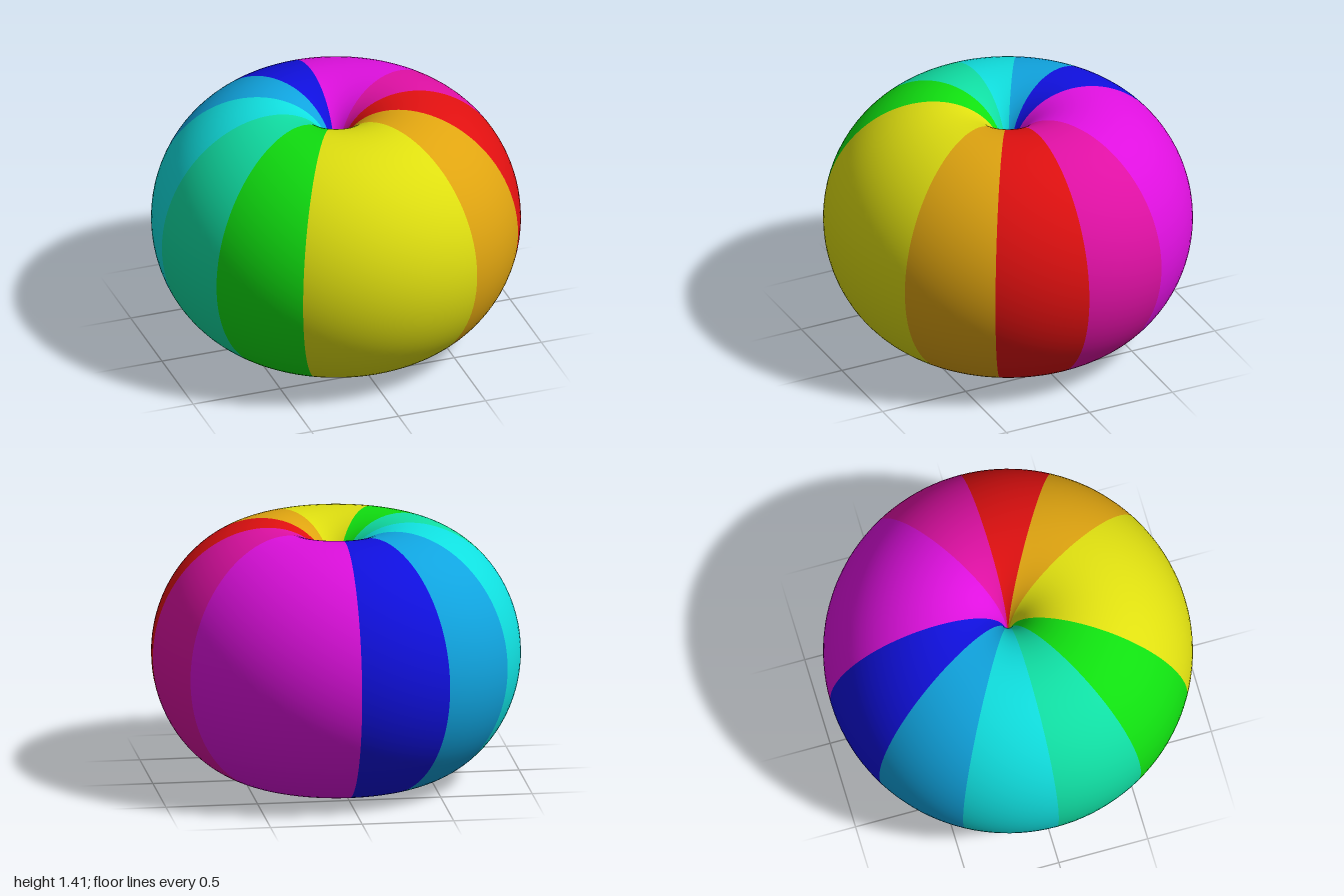
import * as THREE from 'three';

// Colour sectors: name, hex, start and end angle in degrees from +z towards +x
const SECTORS = [
  ['yellow', 0xdfdf10, -30, 30],
  ['orange', 0xdfa410, 30, 60],
  ['red', 0xdf1010, 60, 90],
  ['pink', 0xdf10a4, 90, 120],
  ['magenta', 0xdf10df, 120, 180],
  ['blue', 0x1010df, 180, 210],
  ['skyBlue', 0x10a4df, 210, 240],
  ['cyan', 0x10dfdf, 240, 270],
  ['seaGreen', 0x10dfa4, 270, 300],
  ['green', 0x10df10, 300, 330],
];

// Polar profile from the bottom dimple round to the top dimple,
// with points crowded towards both poles
function bodyProfile(steps = 96, power = 0.3, centreY = 0.705) {
  const points = [];
  for (let i = 0; i <= steps; i++) {
    const s = i / steps;
    const angle = Math.PI * s * s * (3 - 2 * s);
    const radius = Math.pow(Math.max(Math.sin(angle), 0), power);
    const atPole = i === 0 || i === steps;
    points.push(new THREE.Vector2(
      atPole ? 0 : radius * Math.sin(angle),
      centreY - (atPole ? 0 : radius * Math.cos(angle)),
    ));
  }
  return points;
}

export function createModel() {
  const model = new THREE.Group();
  model.name = 'dimpledBody';
  const profile = bodyProfile();

  // One lathed wedge for each colour
  for (const [name, color, from, to] of SECTORS) {
    const material = new THREE.MeshStandardMaterial({ color });
    material.name = name;
    const geometry = new THREE.LatheGeometry(
      profile,
      (to - from) / 3,
      THREE.MathUtils.degToRad(from),
      THREE.MathUtils.degToRad(to - from),
    );
    const wedge = new THREE.Mesh(geometry, material);
    wedge.name = `${name}Wedge`;
    model.add(wedge);
  }
  return model;
}
